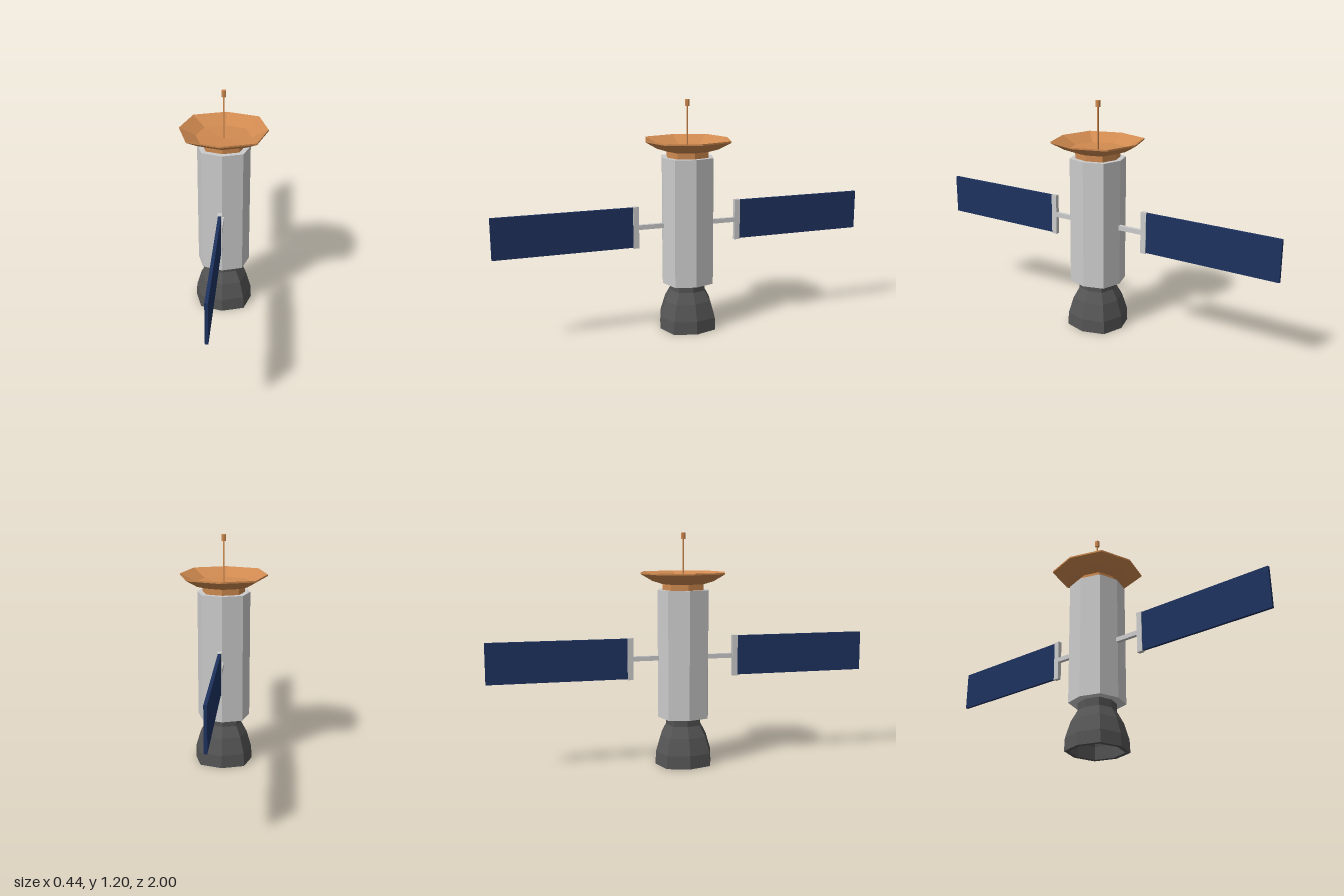
import * as THREE from 'three';

const mat = (color) => new THREE.MeshStandardMaterial({ color, flatShading: true });

// Eight-sided turned part; the corners between the axes stand out slightly further
function octagonal(name, profile, material) {
  const geo = new THREE.LatheGeometry(profile.map(([r, y]) => new THREE.Vector2(r, y)), 8);
  const pos = geo.attributes.position;
  for (let i = 0; i < pos.count; i++) {
    const x = pos.getX(i), z = pos.getZ(i);
    if (Math.min(Math.abs(x), Math.abs(z)) > 1e-5) {
      pos.setX(i, x * 1.083);
      pos.setZ(i, z * 1.083);
    }
  }
  geo.computeVertexNormals();
  const mesh = new THREE.Mesh(geo, material);
  mesh.name = name;
  return mesh;
}

function box(name, size, center, material) {
  const mesh = new THREE.Mesh(new THREE.BoxGeometry(...size), material);
  mesh.position.set(...center);
  mesh.name = name;
  return mesh;
}

export function createModel() {
  const model = new THREE.Group();
  model.name = 'satellite';
  const grey = mat(0xcccccc);
  const dark = mat(0x555555);
  const copper = mat(0xd08a50);
  const blue = mat(0x1e3260);

  // Hollow engine bell
  model.add(octagonal('nozzle', [
    [0, 0.2], [0.07, 0.2], [0.1, 0.145], [0.123, 0.067], [0.127, 0],
    [0.15, 0], [0.147, 0.067], [0.122, 0.152], [0.092, 0.208], [0.092, 0.25], [0, 0.25],
  ], dark));

  // Main body
  model.add(octagonal('body', [[0, 0.25], [0.135, 0.25], [0.135, 0.91], [0, 0.91]], grey));

  // Dish with its neck
  model.add(octagonal('dishNeck', [[0, 0.905], [0.108, 0.905], [0.108, 0.942], [0, 0.942]], copper));
  model.add(octagonal('dish', [
    [0, 0.94], [0.108, 0.94], [0.162, 0.957], [0.222, 0.992],
    [0.222, 1], [0.14, 0.958], [0, 0.95],
  ], copper));

  // Antenna mast and tip
  model.add(octagonal('antennaMast', [[0, 0.945], [0.004, 0.945], [0.004, 1.168], [0, 1.168]], copper));
  model.add(octagonal('antennaTip', [[0, 1.167], [0.011, 1.167], [0.011, 1.2], [0, 1.2]], copper));

  // Solar wings, front and back
  for (const [name, s] of [['frontWing', 1], ['backWing', -1]]) {
    const wing = new THREE.Group();
    wing.name = name;
    wing.add(box('arm', [0.02, 0.024, 0.16], [0, 0.56, s * 0.19], grey));
    wing.add(box('panelBracket', [0.022, 0.216, 0.03], [0, 0.56, s * 0.279], grey));
    wing.add(box('solarPanel', [0.015, 0.208, 0.71], [0, 0.561, s * 0.645], blue));
    model.add(wing);
  }
  return model;
}
